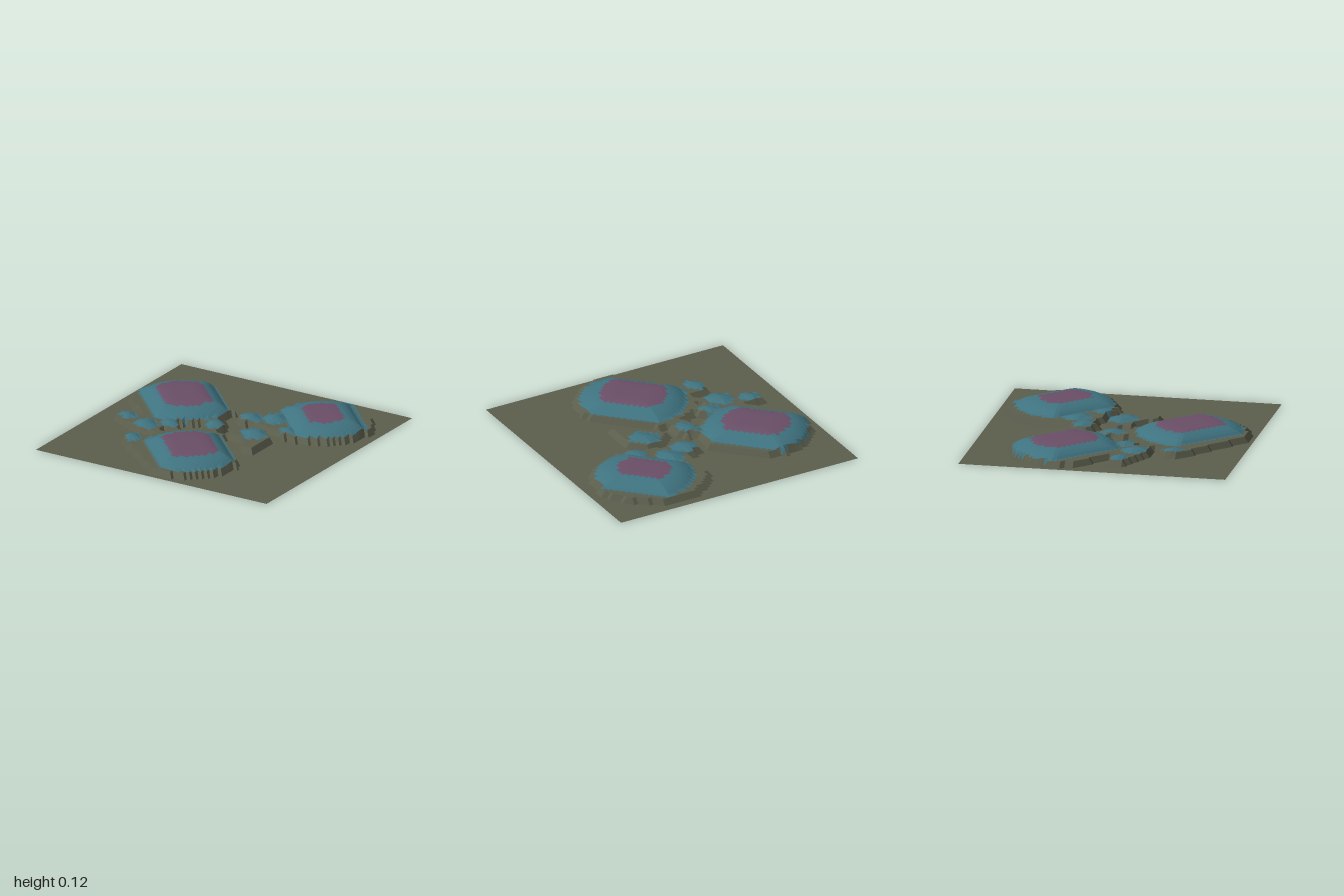
import * as THREE from 'three';

const CELLS = 64;
const SHELF = 0.045;

// Flat raised shelves: outlines as [x, z]
const shelves = [
  // left island
  [[-0.95, -0.3], [-0.92, -0.45], [-0.83, -0.58], [-0.68, -0.67], [-0.45, -0.68], [-0.36, -0.6], [-0.12, -0.36],
    [-0.15, -0.13], [-0.3, 0.02], [-0.4, 0.1], [-0.62, 0.1], [-0.92, -0.15]],
  // islets in front of the left island
  [[-0.82, 0.07], [-0.68, 0.07], [-0.58, 0.1], [-0.42, 0.05], [-0.3, 0.1], [-0.3, 0.2], [-0.38, 0.2],
    [-0.4, 0.33], [-0.55, 0.33], [-0.82, 0.2]],
  // front island
  [[-0.56, 0.42], [-0.4, 0.38], [-0.36, 0.2], [-0.2, 0.12], [0.05, 0.08], [0.4, 0.45], [0.44, 0.52],
    [0.4, 0.75], [0.25, 0.9], [0.12, 0.95], [-0.02, 0.95], [-0.56, 0.53]],
  // centre islets
  [[-0.2, -0.08], [-0.05, -0.14], [0, 0], [-0.02, 0.1], [-0.15, 0.1]],
  [[0.06, -0.05], [0.15, -0.13], [0.3, -0.13], [0.4, 0], [0.4, 0.25], [0.32, 0.25], [0.22, 0.1], [0.07, 0.06]],
  // right island
  [[-0.04, -0.37], [0.08, -0.38], [0.08, -0.7], [0.18, -0.82], [0.3, -0.91], [0.6, -0.91], [0.82, -0.76],
    [0.91, -0.6], [0.9, -0.38], [0.78, -0.22], [0.55, -0.12], [0.3, -0.18], [0.12, -0.2], [-0.04, -0.22]],
];

// Mounds: x, z, radius, top height
const mounds = [
  [-0.54, -0.3, 0.39, 0.116], [0.03, 0.52, 0.39, 0.116], [0.53, -0.52, 0.365, 0.109],
  [0.05, -0.28, 0.1, 0.066], [0.22, -0.36, 0.1, 0.066], [0.42, -0.2, 0.08, 0.06],
  [-0.1, -0.04, 0.09, 0.064], [0.25, -0.03, 0.11, 0.066], [-0.74, 0.15, 0.07, 0.062],
  [-0.53, 0.23, 0.1, 0.066], [-0.38, 0.12, 0.08, 0.062], [-0.48, 0.5, 0.08, 0.062],
];

function inside(poly, x, z) {
  let hit = false;
  for (let i = 0, j = poly.length - 1; i < poly.length; j = i++) {
    const [xi, zi] = poly[i], [xj, zj] = poly[j];
    if ((zi > z) !== (zj > z) && x < ((xj - xi) * (z - zi)) / (zj - zi) + xi) hit = !hit;
  }
  return hit;
}

// Round in two quadrants, cut straight on the diagonal in the other two
function moundDistance(dx, dz) {
  return dx * dz >= 0 ? Math.hypot(dx, dz) : Math.abs(dx) + Math.abs(dz);
}

function heightAt(x, z) {
  let h = shelves.some((s) => inside(s, x, z)) ? SHELF : 0;
  for (const [cx, cz, r, top] of mounds) {
    const t = moundDistance(x - cx, z - cz) / r;
    const power = r > 0.2 ? 4 : 2;
    if (t < 1) h = Math.max(h, SHELF + (top - SHELF) * (1 - t ** power));
  }
  return h;
}

export function createModel() {
  const group = new THREE.Group();
  group.name = 'islandTerrain';

  // Height grid
  const coord = (i) => -1 + (2 * i) / CELLS;
  const grid = [];
  for (let j = 0; j <= CELLS; j++) {
    grid.push([]);
    for (let i = 0; i <= CELLS; i++) grid[j].push(new THREE.Vector3(coord(i), heightAt(coord(i), coord(j)), coord(j)));
  }

  // Sort the cells into ground, mound sides and mound caps by height
  const bands = {
    ground: { color: 0x5c5e4d, points: [] },
    moundSides: { color: 0x3f7380, points: [] },
    moundCaps: { color: 0x6b4f68, points: [] },
  };
  for (let j = 0; j < CELLS; j++) {
    for (let i = 0; i < CELLS; i++) {
      const a = grid[j][i], b = grid[j][i + 1], c = grid[j + 1][i + 1], d = grid[j + 1][i];
      const mean = (a.y + b.y + c.y + d.y) / 4;
      const high = Math.max(a.y, b.y, c.y, d.y);
      const band = mean > 0.1035 ? 'moundCaps' : high > 0.05 && mean > 0.04 ? 'moundSides' : 'ground';
      bands[band].points.push(a, c, b, a, d, c);
    }
  }

  // One faceted surface per band
  for (const [name, { color, points }] of Object.entries(bands)) {
    const geometry = new THREE.BufferGeometry().setFromPoints(points);
    geometry.computeVertexNormals();
    const material = new THREE.MeshStandardMaterial({ color, flatShading: true, side: THREE.DoubleSide });
    const mesh = new THREE.Mesh(geometry, material);
    mesh.name = name;
    group.add(mesh);
  }
  return group;
}
